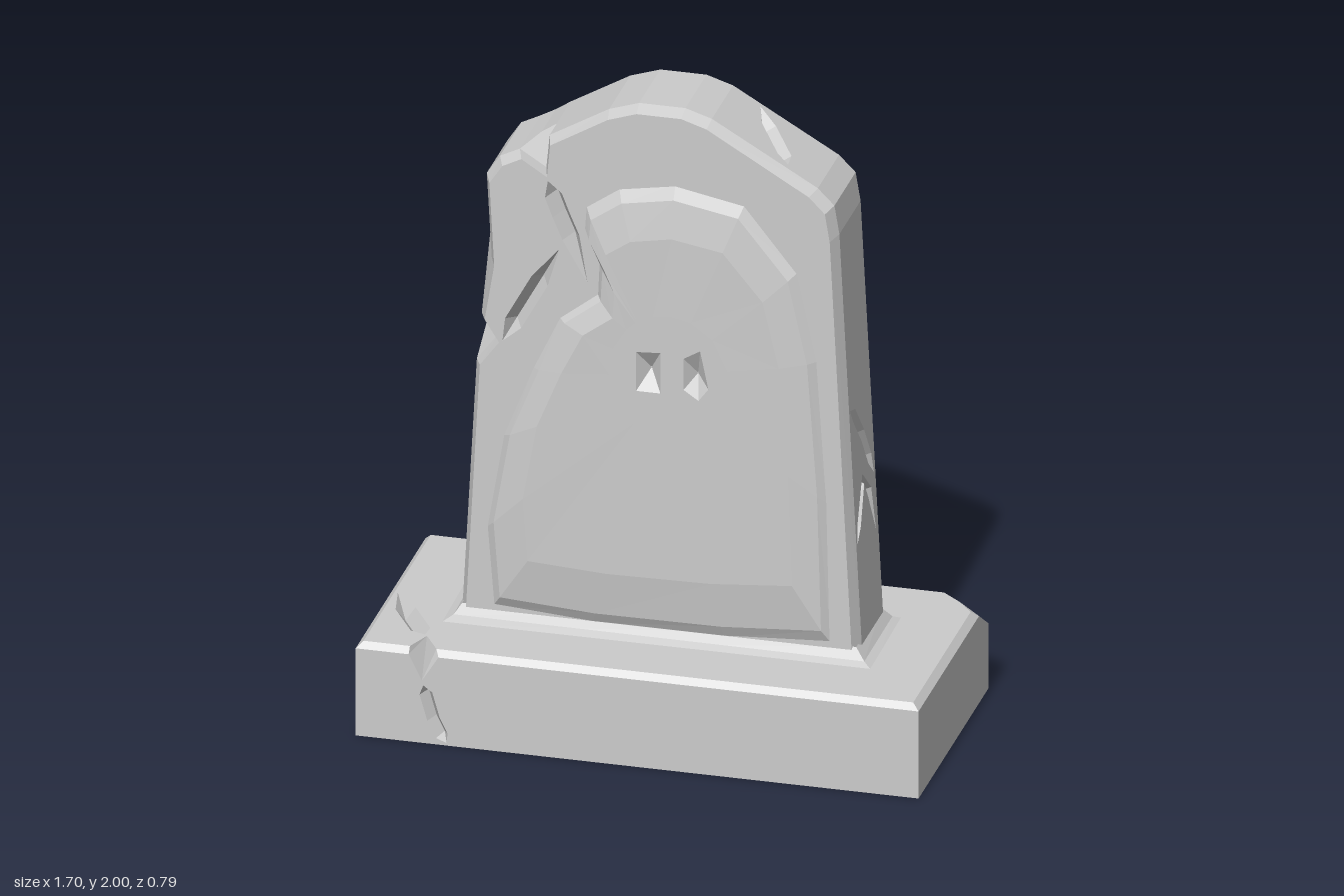
import * as THREE from 'three';

const V3 = (x, y, z) => new THREE.Vector3(x, y, z);
const V2 = ([x, y]) => new THREE.Vector2(x, y);

// Closed rings [x,y,z] joined by quads; skip(band, segment) leaves a gap for a panel
function loft(rings, skip = () => false) {
  const tris = [];
  for (let i = 0; i < rings.length - 1; i++) {
    const n = rings[i].length;
    for (let j = 0; j < n; j++) {
      if (skip(i, j)) continue;
      const k = (j + 1) % n;
      const [a, b, c, d] = [rings[i][j], rings[i][k], rings[i + 1][k], rings[i + 1][j]].map(p => V3(...p));
      tris.push(a, b, c, a, c, d);
    }
  }
  return tris;
}

// Flat panel with V-shaped cracks {path, w, d} and pointed pits {pit, d} sunk into it
function panel(outline, cuts, origin, U, V) {
  const tris = [];
  const shape = new THREE.Shape(outline.map(V2));
  for (const { path, pit, w, d } of cuts) {
    if (pit) {
      const pts = pit.map(V2);
      const mid = pts.reduce((s, p) => s.add(p), new THREE.Vector2()).divideScalar(pts.length);
      shape.holes.push(new THREE.Path(pts));
      pts.forEach((p, i) => {
        const q = pts[(i + 1) % pts.length];
        tris.push(V3(p.x, p.y, 0), V3(q.x, q.y, 0), V3(mid.x, mid.y, -d));
      });
      continue;
    }
    const pts = path.map(V2), last = pts.length - 1;
    const L = [], B = [], R = [];
    pts.forEach((p, i) => {
      const end = i === 0 || i === last;
      const dir = pts[Math.min(i + 1, last)].clone().sub(pts[Math.max(i - 1, 0)]).normalize();
      const h = end ? 0 : w / 2;
      L.push(V3(p.x - dir.y * h, p.y + dir.x * h, 0));
      R.push(V3(p.x + dir.y * h, p.y - dir.x * h, 0));
      B.push(V3(p.x, p.y, end ? 0 : -d));
    });
    for (let i = 0; i < last; i++) {
      for (const [a, b] of [[B, L], [R, B]]) {
        if (i > 0) tris.push(a[i], a[i + 1], b[i]);
        else tris.push(a[0], a[1], b[1]);
        if (i > 0 && i < last - 1) tris.push(a[i + 1], b[i + 1], b[i]);
      }
    }
    const ring = [...L, ...R.slice(1, last).reverse()];
    shape.holes.push(new THREE.Path(ring.map(p => new THREE.Vector2(p.x, p.y))));
  }
  const face = new THREE.ShapeGeometry(shape).toNonIndexed().attributes.position;
  for (let i = 0; i < face.count; i++) tris.push(new THREE.Vector3().fromBufferAttribute(face, i));
  const m = new THREE.Matrix4().makeBasis(U, V, U.clone().cross(V)).setPosition(origin);
  return tris.map(p => p.clone().applyMatrix4(m));
}

function mesh(name, tris) {
  const g = new THREE.BufferGeometry().setFromPoints(tris);
  g.computeVertexNormals();
  const m = new THREE.Mesh(g, new THREE.MeshStandardMaterial({ color: 0xcccccc, flatShading: true }));
  m.name = name;
  return m;
}

const X = V3(1, 0, 0), Y = V3(0, 1, 0), Z = V3(0, 0, 1);
const crack = (path, w = 0.045, d = 0.035) => ({ path, w, d });
const wobble = (i, a) => a * Math.sin(i * 12.9 + 1.7);

function makeSlab() {
  // outline counter-clockwise; the front outline has broken notches at the left
  const back = [[-0.607, 0.25], [0.607, 0.25], [0.535, 1.65], [0.52, 1.74], [0.47, 1.79], [0.15, 1.975],
    [0.07, 2], [-0.07, 2], [-0.16, 1.97], [-0.34, 1.865], [-0.385, 1.835], [-0.43, 1.81], [-0.49, 1.78],
    [-0.53, 1.72], [-0.54, 1.5], [-0.545, 1.27], [-0.552, 1.2], [-0.56, 1.12]];
  const front = back.map(p => [...p]);
  front[10] = [-0.35, 1.76];
  front[14] = [-0.515, 1.45];
  front[16] = [-0.5, 1.2];
  const inset = (o, sx, sy) => o.map(([x, y]) => [x * sx, 1.1 + (y - 1.1) * sy]);
  const at = (o, z) => o.map(([x, y]) => [x, y, z]);
  const zb = -0.13, zf = 0.11;
  const backFace = inset(back, 0.985, 0.985), frontFace = inset(front, 0.965, 0.98);
  const tris = loft([at(backFace, -0.145), at(back, zb), at(back, 0.03), at(front, zf), at(frontFace, 0.15)],
    (i, j) => (i === 1 || i === 2) && (j === 1 || j === 4));

  // front face with the two cracks around the broken corner
  tris.push(...panel(frontFace, [
    crack([[-0.335, 1.735], [-0.318, 1.69], [-0.295, 1.63], [-0.265, 1.56], [-0.215, 1.42]], 0.055, 0.05),
    crack([[-0.472, 1.205], [-0.44, 1.265], [-0.36, 1.41], [-0.3, 1.52]], 0.055, 0.05),
  ], V3(0, 0, 0.15), X, Y));

  // back face with crossed scratches
  tris.push(...panel(backFace.map(([x, y]) => [-x, y]).reverse(), [
    crack([[-0.39, 0.75], [-0.35, 0.79], [0.02, 1.15], [0.4, 1.49], [0.44, 1.53]], 0.05),
    crack([[0.17, 1.75], [0.16, 1.6], [0.13, 1.47], [0.06, 1.26], [0.04, 1.205]]),
    crack([[0.005, 1.09], [0, 1.04], [-0.01, 0.95], [-0.09, 0.65], [-0.11, 0.6]]),
  ], V3(0, 0, -0.145), X.clone().negate(), Y));

  // edge panels: the long side and the right slope of the top
  const edge = (i, cuts) => {
    const p = V3(...back[i], zf), q = V3(...back[i + 1], zf);
    const len = p.distanceTo(q), w = zf - zb;
    tris.push(...panel([[0, 0], [w, 0], [w, len], [0, len]], cuts, p, Z.clone().negate(), q.sub(p).normalize()));
  };
  edge(1, [
    crack([[0.01, 0.83], [0.05, 0.8], [0.13, 0.7], [0.19, 0.6], [0.225, 0.54]], 0.04),
    crack([[0.01, 0.4], [0.04, 0.45], [0.11, 0.57], [0.17, 0.5], [0.215, 0.36]], 0.04),
  ]);
  edge(4, [crack([[0.02, 0.11], [0.06, 0.135], [0.16, 0.22], [0.225, 0.27]], 0.05)]);
  return mesh('slab', tris);
}

// Worn raised arch on the front, with two small pits
function makeRelief() {
  const c = [0.04, 1.17];
  const arch = [[-0.5, 0.35], [-0.2, 0.33], [0.2, 0.33], [0.52, 0.35], [0.51, 0.8], [0.48, 1.25], [0.42, 1.53],
    [0.26, 1.73], [0.05, 1.77], [-0.12, 1.74], [-0.22, 1.67], [-0.225, 1.6], [-0.18, 1.5], [-0.185, 1.39],
    [-0.3, 1.3], [-0.38, 1.13], [-0.47, 0.9], [-0.52, 0.6]];
  const ring = (s, z, j) => arch.map(([x, y], i) =>
    [c[0] + (x - c[0]) * (s + wobble(i, j)), c[1] + (y - c[1]) * (s + wobble(i, j)), z + wobble(i + 5, j * 0.1)]);
  const inner = arch.map(([x, y]) => {
    const a = Math.atan2(y - c[1], x - c[0]);
    return [c[0] + 0.18 * Math.cos(a), c[1] + 0.19 * Math.sin(a)];
  });
  const tris = loft([ring(1, 0.147, 0), ring(0.94, 0.168, 0.015), ring(0.76, 0.187, 0.03),
    inner.map(p => [...p, 0.188])]);
  tris.push(...panel(inner, [
    { pit: [[-0.058, 1.11], [0.015, 1.11], [0.015, 1.24], [-0.058, 1.235]], d: 0.04 },
    { pit: [[0.085, 1.13], [0.13, 1.1], [0.16, 1.14], [0.135, 1.26], [0.085, 1.23]], d: 0.04 },
  ], V3(0, 0, 0.188), X, Y));
  return mesh('frontRelief', tris);
}

function makeBase() {
  // notch at the front left, chipped corner at the back right
  const mid = [[-0.85, 0.28, 0.395], [-0.69, 0.28, 0.395], [-0.65, 0.2, 0.395], [-0.6, 0.28, 0.395],
    [0.85, 0.28, 0.395], [0.85, 0.28, -0.29], [0.85, 0.21, -0.395], [0.74, 0.28, -0.395], [-0.85, 0.28, -0.395]];
  const top = [[-0.83, 0.3, 0.38], [-0.69, 0.3, 0.38], [-0.66, 0.3, 0.3], [-0.61, 0.3, 0.38],
    [0.83, 0.3, 0.38], [0.83, 0.3, -0.27], [0.78, 0.3, -0.33], [0.72, 0.3, -0.38], [-0.83, 0.3, -0.38]];
  const bottom = mid.map(([x, , z]) => [x, 0, z]);
  const tris = loft([bottom, mid, top], (i, j) => i === 0 && j < 4);
  const frontFace = [[-0.85, 0], [0.85, 0], ...mid.slice(0, 5).reverse().map(([x, y]) => [x, y])];
  tris.push(...panel(frontFace, [
    crack([[-0.646, 0.185], [-0.638, 0.16], [-0.615, 0.08], [-0.59, 0.03], [-0.575, 0.008]], 0.04),
  ], V3(0, 0, 0.395), X, Y));
  tris.push(...panel(top.map(([x, , z]) => [x, -z]), [
    crack([[-0.668, -0.292], [-0.69, -0.26], [-0.77, -0.13], [-0.82, -0.03]], 0.06, 0.04),
  ], V3(0, 0.3, 0), X, Z.clone().negate()));
  tris.push(...panel([[-0.85, -0.395], [0.85, -0.395], [0.85, 0.395], [-0.85, 0.395]], [], V3(0, 0, 0), X, Z));
  return mesh('base', tris);
}

// Uneven mortar bead where the slab meets the base
function makeBead() {
  const ring = (w, f, b, y, j) => {
    const xs = [-1, -0.4, 0.3, 1];
    return [...xs.map(x => [x, f]), ...xs.reverse().map(x => [x, b])]
      .map(([x, z], i) => [x * w + wobble(i, j), y + wobble(i + 3, j * 0.4), z + wobble(i + 9, j)]);
  };
  return mesh('mortarBead', loft([ring(0.66, 0.21, -0.19, 0.295, 0.012), ring(0.622, 0.168, -0.16, 0.312, 0.006),
    ring(0.595, 0.145, -0.138, 0.345, 0)]));
}

export function createModel() {
  const group = new THREE.Group();
  group.name = 'gravestone';
  group.add(makeBase(), makeBead(), makeSlab(), makeRelief());
  return group;
}
